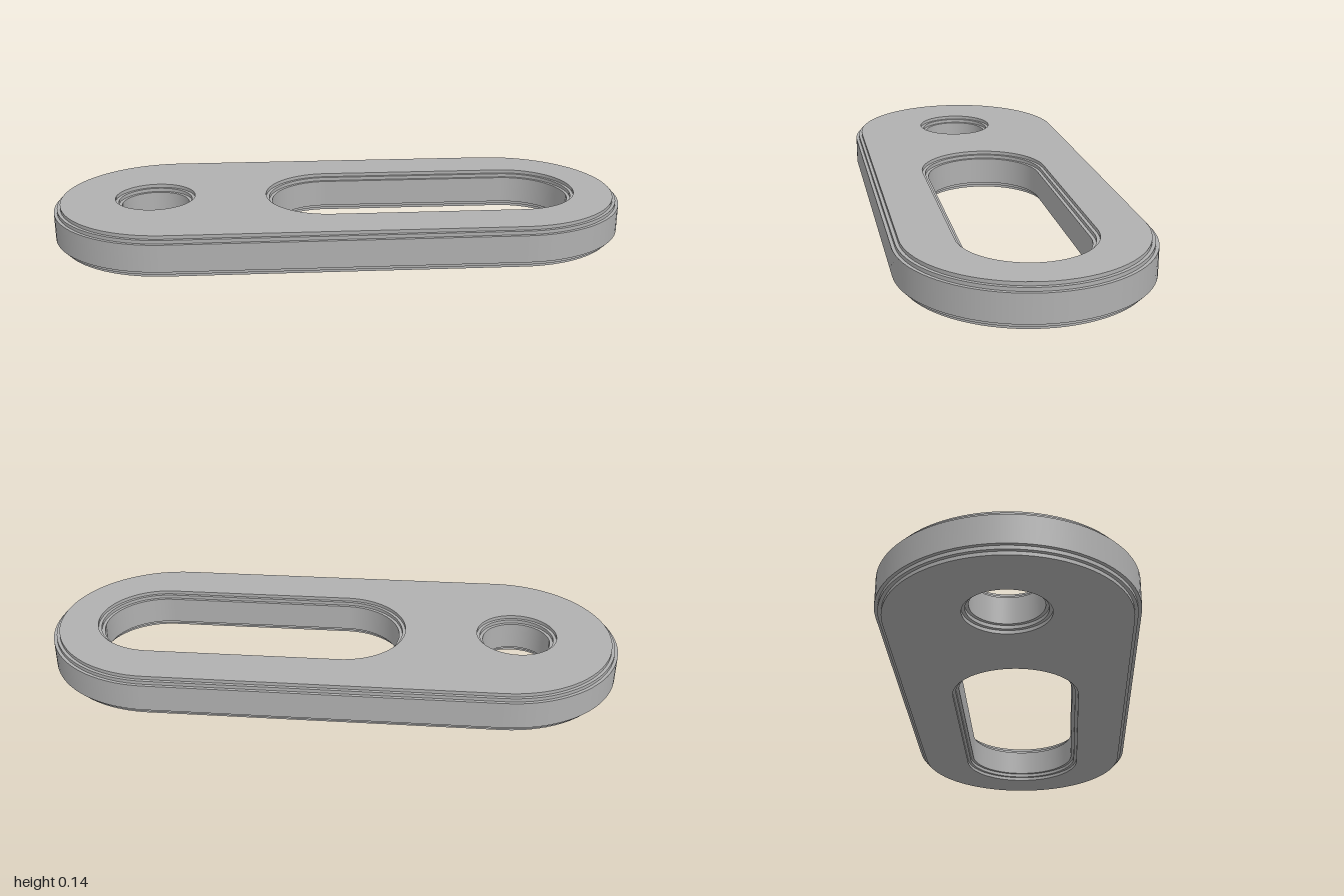
import * as THREE from 'three';

const HEIGHT = 0.142;
const ARC = 40; // segments per half circle

// Stepped edge from bottom to top: [inset from the widest wall, y]
const STEPS = [
  [0.022, 0], [0.022, 0.012], [0.011, 0.012], [0.011, 0.024], [0, 0.024],
  [0, 0.118], [0.011, 0.118], [0.011, 0.13], [0.022, 0.13], [0.022, HEIGHT],
];

// Rounded outlines: arc centres x0 and x1, wall radius, side (+1 outer, -1 hole)
const OUTLINES = [
  { name: 'outerEdge', x0: -0.59, x1: 0.59, r: 0.41, side: 1 },
  { name: 'longSlotWall', x0: -0.038, x1: 0.622, r: 0.2, side: -1 },
  { name: 'roundHoleWall', x0: -0.65, x1: -0.65, r: 0.117, side: -1 },
];

// Centre x and direction of each point around an outline
function ring({ x0, x1 }) {
  const points = [];
  for (const [cx, start] of [[x1, -Math.PI / 2], [x0, Math.PI / 2]]) {
    for (let i = 0; i <= ARC; i++) {
      const a = start + (Math.PI * i) / ARC;
      points.push({ cx, c: Math.cos(a), s: Math.sin(a) });
    }
  }
  return points;
}

// Sweep the stepped profile around an outline, smooth around it and sharp at each step
function edgeGeometry(outline) {
  const { r, side } = outline;
  const points = ring(outline);
  const n = points.length;
  const position = [], normal = [], index = [];
  for (let j = 0; j < STEPS.length - 1; j++) {
    const ends = [STEPS[j], STEPS[j + 1]].map(([inset, y]) => [r - side * inset, y]);
    const dr = ends[1][0] - ends[0][0], dy = ends[1][1] - ends[0][1];
    const len = Math.hypot(dr, dy);
    const nr = (side * dy) / len, ny = (-side * dr) / len;
    const base = position.length / 3;
    for (const [radius, y] of ends) {
      for (const p of points) {
        position.push(p.cx + radius * p.c, y, radius * p.s);
        normal.push(nr * p.c, ny, nr * p.s);
      }
    }
    for (let i = 0; i < n; i++) {
      const a = base + i, b = base + ((i + 1) % n), c = a + n, d = b + n;
      if (side > 0) index.push(a, c, b, b, c, d);
      else index.push(a, b, c, b, d, c);
    }
  }
  const geometry = new THREE.BufferGeometry();
  geometry.setAttribute('position', new THREE.Float32BufferAttribute(position, 3));
  geometry.setAttribute('normal', new THREE.Float32BufferAttribute(normal, 3));
  geometry.setIndex(index);
  return geometry;
}

// Flat face with both openings, meeting the innermost step
function faceGeometry() {
  const loops = OUTLINES.map((o) => {
    const radius = o.r - o.side * STEPS[0][0];
    return ring(o).map((p) => new THREE.Vector2(p.cx + radius * p.c, radius * p.s));
  });
  const shape = new THREE.Shape(loops[0]);
  shape.holes = loops.slice(1).map((points) => new THREE.Path(points));
  return new THREE.ShapeGeometry(shape);
}

export function createModel() {
  const group = new THREE.Group();
  group.name = 'slottedLinkPlate';
  const metal = new THREE.MeshStandardMaterial({ color: 0xb0b0b0 });
  metal.name = 'grey metal';

  const add = (name, geometry) => {
    const mesh = new THREE.Mesh(geometry, metal);
    mesh.name = name;
    group.add(mesh);
  };

  // Stepped walls of the plate, slot and hole
  for (const outline of OUTLINES) add(outline.name, edgeGeometry(outline));

  // Top and bottom faces
  add('topFace', faceGeometry().rotateX(-Math.PI / 2).translate(0, HEIGHT, 0));
  add('bottomFace', faceGeometry().rotateX(Math.PI / 2));
  return group;
}
